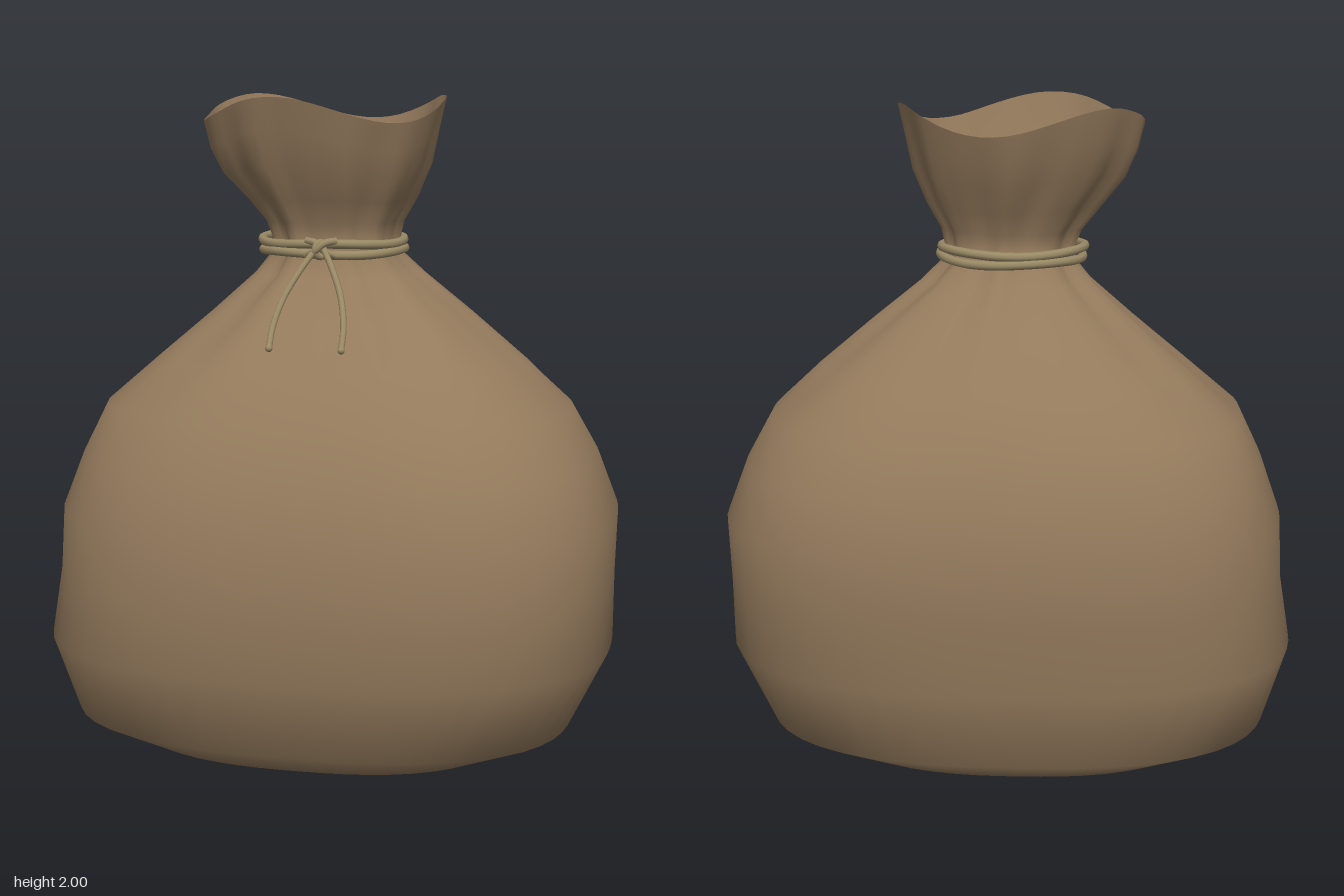
import * as THREE from 'three';

const SEGMENTS = 56;
const SEAM = Math.PI + 0.2; // side seam, slightly behind the -x side

// Rings from floor to rim: y, x min, x max, z min, z max, squareness, pleat depth
const RINGS = [
  [0.0, -0.61, 0.55, -0.43, 0.44, 2.5, 0],
  [0.09, -0.81, 0.76, -0.56, 0.57, 2.6, 0],
  [0.33, -0.885, 0.875, -0.61, 0.645, 2.6, 0],
  [0.54, -0.85, 0.875, -0.635, 0.655, 2.6, 0],
  [0.74, -0.84, 0.88, -0.65, 0.65, 2.6, 0],
  [0.91, -0.78, 0.815, -0.61, 0.595, 2.5, 0],
  [1.06, -0.71, 0.73, -0.56, 0.53, 2.4, 0.004],
  [1.2, -0.55, 0.58, -0.46, 0.425, 2.2, 0.014],
  [1.34, -0.385, 0.41, -0.34, 0.305, 2.1, 0.035],
  [1.46, -0.25, 0.26, -0.235, 0.2, 2, 0.06],
  [1.52, -0.2, 0.2, -0.185, 0.17, 2, 0.06],
  [1.57, -0.195, 0.19, -0.165, 0.16, 2, 0.05],
  [1.62, -0.215, 0.2, -0.17, 0.165, 2, 0.05],
  [1.69, -0.27, 0.24, -0.2, 0.2, 2, 0.05],
  [1.78, -0.345, 0.285, -0.24, 0.25, 2, 0.035],
  [1.87, -0.385, 0.31, -0.275, 0.28, 2, 0.02],
  [1.96, -0.405, 0.335, -0.3, 0.305, 2, 0.008],
];

function ringPoint([y, x0, x1, z0, z1, n, pleat], a) {
  const c = Math.cos(a), s = Math.sin(a);
  const square = Math.pow(Math.abs(c) ** n + Math.abs(s) ** n, -1 / n);
  const r = square * (1 + pleat * (Math.cos(9 * a + 0.6) + 0.6 * Math.cos(14 * a + 2)) / 1.3);
  // The rim rises and falls in three waves that fade towards the neck
  const fade = THREE.MathUtils.smoothstep(y, 1.62, 1.96);
  const wave = 0.038 * fade * Math.cos(3 * (Math.PI / 2 - a + 0.26));
  return [(x0 + x1) / 2 + (x1 - x0) / 2 * r * c, y + wave, (z0 + z1) / 2 + (z1 - z0) / 2 * r * s];
}

// Loft of the rings, left unjoined along the seam, with a closed floor
function sackGeometry() {
  const positions = [], index = [], row = SEGMENTS + 1;
  for (const ring of RINGS) {
    for (let i = 0; i <= SEGMENTS; i++) {
      positions.push(...ringPoint(ring, SEAM + (i / SEGMENTS) * Math.PI * 2));
    }
  }
  for (let j = 0; j < RINGS.length - 1; j++) {
    for (let i = 0; i < SEGMENTS; i++) {
      const a = j * row + i, b = a + 1, c = a + row, d = c + 1;
      index.push(a, c, b, b, c, d);
    }
  }
  const centre = positions.length / 3;
  positions.push(-0.03, 0, 0);
  for (let i = 0; i < SEGMENTS; i++) index.push(centre, i, i + 1);
  const geometry = new THREE.BufferGeometry();
  geometry.setAttribute('position', new THREE.Float32BufferAttribute(positions, 3));
  geometry.setIndex(index);
  geometry.computeVertexNormals();
  return geometry;
}

export function createModel() {
  const group = new THREE.Group();
  const cloth = new THREE.MeshStandardMaterial({ color: 0x957b5d, side: THREE.DoubleSide });
  cloth.name = 'brown sackcloth';
  const twine = new THREE.MeshStandardMaterial({ color: 0x9a8a66 });
  twine.name = 'pale twine';

  const add = (name, geometry, material) => {
    const mesh = new THREE.Mesh(geometry, material);
    mesh.name = name;
    group.add(mesh);
    return mesh;
  };
  const cord = (name, points, radius, closed = false, steps = 16) => {
    const curve = new THREE.CatmullRomCurve3(points.map((p) => new THREE.Vector3(...p)), closed);
    add(name, new THREE.TubeGeometry(curve, steps, radius, 8, closed), twine);
    return curve;
  };

  add('sack', sackGeometry(), cloth);

  // Two turns of twine round the neck
  [1.534, 1.562].forEach((y, k) => {
    const loop = [];
    for (let i = 0; i < 14; i++) {
      const a = (i / 14) * Math.PI * 2;
      const wobble = 0.004 * Math.cos(3 * a + k * 2);
      loop.push([-0.007 + (0.218 + wobble) * Math.cos(a), y + wobble, 0.004 + (0.198 + wobble) * Math.sin(a)]);
    }
    cord('neckTwine', loop, 0.014, true, 56);
  });

  // Knot: two crossed strands and a small wrap
  for (const s of [-1, 1]) {
    cord('knotStrand', [
      [-0.045 * s, 1.53, 0.205], [-0.015 * s, 1.545, 0.226 + 0.006 * s],
      [0.015 * s, 1.57, 0.224 + 0.006 * s], [0.045 * s, 1.575, 0.205],
    ], 0.011);
  }
  const wrap = add('knotWrap', new THREE.TorusGeometry(0.022, 0.01, 8, 16), twine);
  wrap.position.set(0, 1.55, 0.215);
  wrap.rotation.y = 0.9;

  // Hanging ends with rounded tips
  for (const s of [-1, 1]) {
    const end = cord('twineEnd', [
      [0.01 * s, 1.555, 0.222], [0.045 * s, 1.5, 0.262],
      [0.085 * s, 1.42, 0.322], [0.105 * s, 1.34, 0.382], [0.107 * s, 1.282, 0.424],
    ], 0.0095, false, 24);
    add('twineTip', new THREE.SphereGeometry(0.011, 10, 8), twine).position.copy(end.getPoint(1));
  }
  return group;
}
